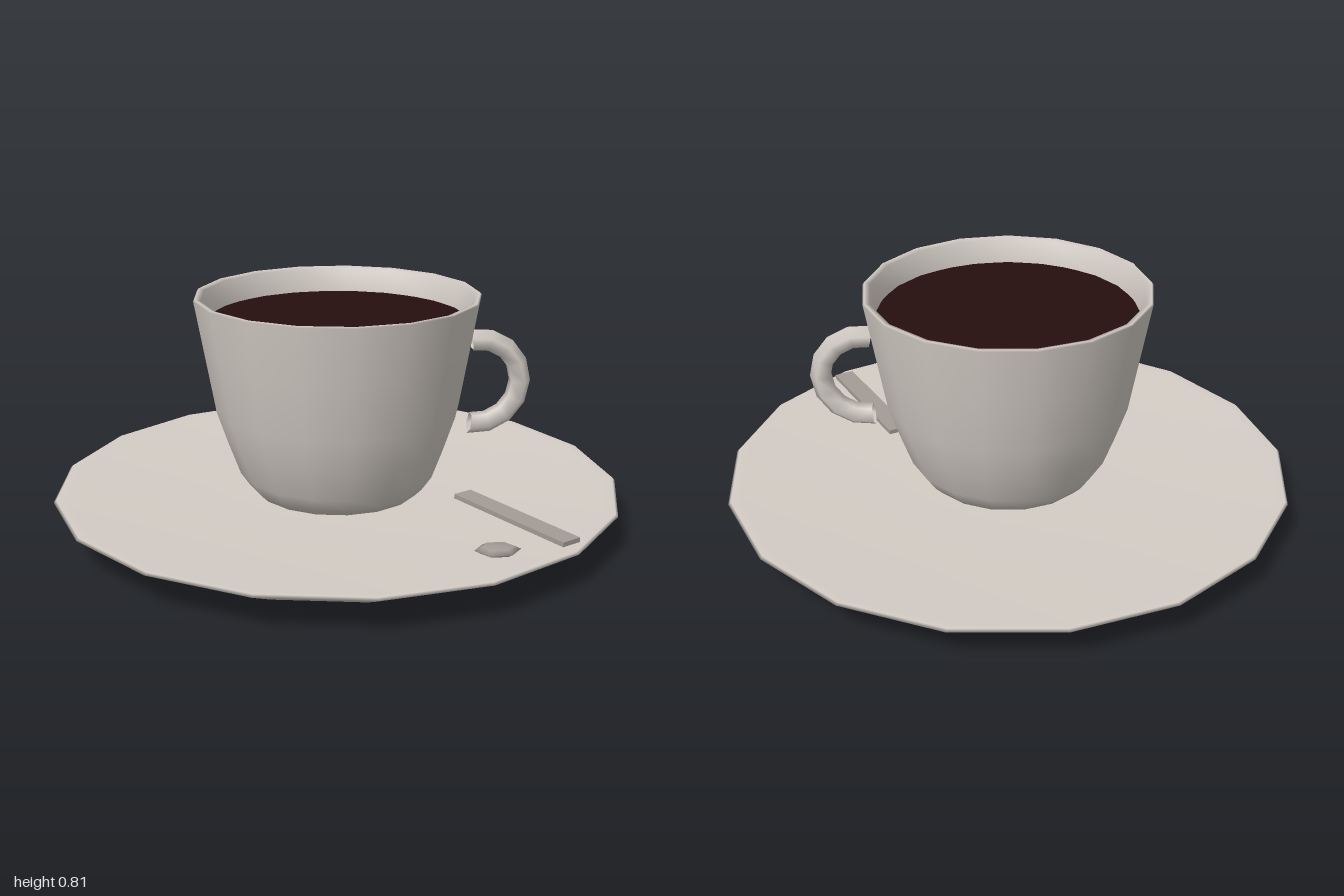
import * as THREE from 'three';

const SIDES = 17; // facets around the crockery

function lathe(profile) {
  return new THREE.LatheGeometry(profile.map(([r, y]) => new THREE.Vector2(r, y)), SIDES);
}

export function createModel() {
  const model = new THREE.Group();
  model.name = 'cupAndSaucer';

  const material = (name, color) => {
    const m = new THREE.MeshStandardMaterial({ color });
    m.name = name;
    return m;
  };
  const porcelain = material('porcelain', 0xd4cdc6);
  porcelain.side = THREE.DoubleSide;
  const coffeeBrown = material('coffeeBrown', 0x260e0e);
  const metal = material('spoonMetal', 0xa49b95);

  const add = (name, geometry, mat, x = 0, y = 0, z = 0) => {
    const mesh = new THREE.Mesh(geometry, mat);
    mesh.name = name;
    mesh.position.set(x, y, z);
    model.add(mesh);
    return mesh;
  };

  // Shallow dish with a thin lip
  add('saucer', lathe([
    [0, 0], [0.63, 0], [0.82, 0.03], [1.004, 0.12], [0.995, 0.128],
    [0.965, 0.122], [0.6, 0.108], [0.32, 0.1], [0, 0.1],
  ]), porcelain);

  // Flared cup with a hollow inside
  add('cup', lathe([
    [0, 0.1], [0.29, 0.105], [0.315, 0.13], [0.35, 0.18], [0.39, 0.29],
    [0.43, 0.41], [0.465, 0.61], [0.5, 0.808], [0.495, 0.814], [0.475, 0.808],
    [0.455, 0.72], [0.41, 0.42], [0.32, 0.18], [0, 0.15],
  ]), porcelain);

  // Coffee surface
  const coffee = new THREE.CircleGeometry(0.452, 24);
  coffee.rotateX(-Math.PI / 2);
  add('coffee', coffee, coffeeBrown, 0, 0.725, 0);

  // Open ring handle on the model's left
  const arc = Math.PI * 1.1;
  const handle = new THREE.TorusGeometry(0.155, 0.04, 5, 8, arc);
  handle.rotateZ(-arc / 2);
  add('cupHandle', handle, porcelain, 0.5, 0.48, 0);

  // Spoon: flat stem and small faceted bowl
  const stem = add('spoonStem', new THREE.BoxGeometry(0.074, 0.016, 0.53), metal, 0.54, 0.138, 0.452);
  stem.rotation.y = 0.505;
  const bowl = new THREE.SphereGeometry(1, 6, 4);
  bowl.scale(0.075, 0.016, 0.055);
  add('spoonBowl', bowl, metal, 0.42, 0.14, 0.719);

  // Centre the odd-sided saucer on z
  model.children.forEach((part) => { part.position.z -= 0.009; });
  return model;
}
